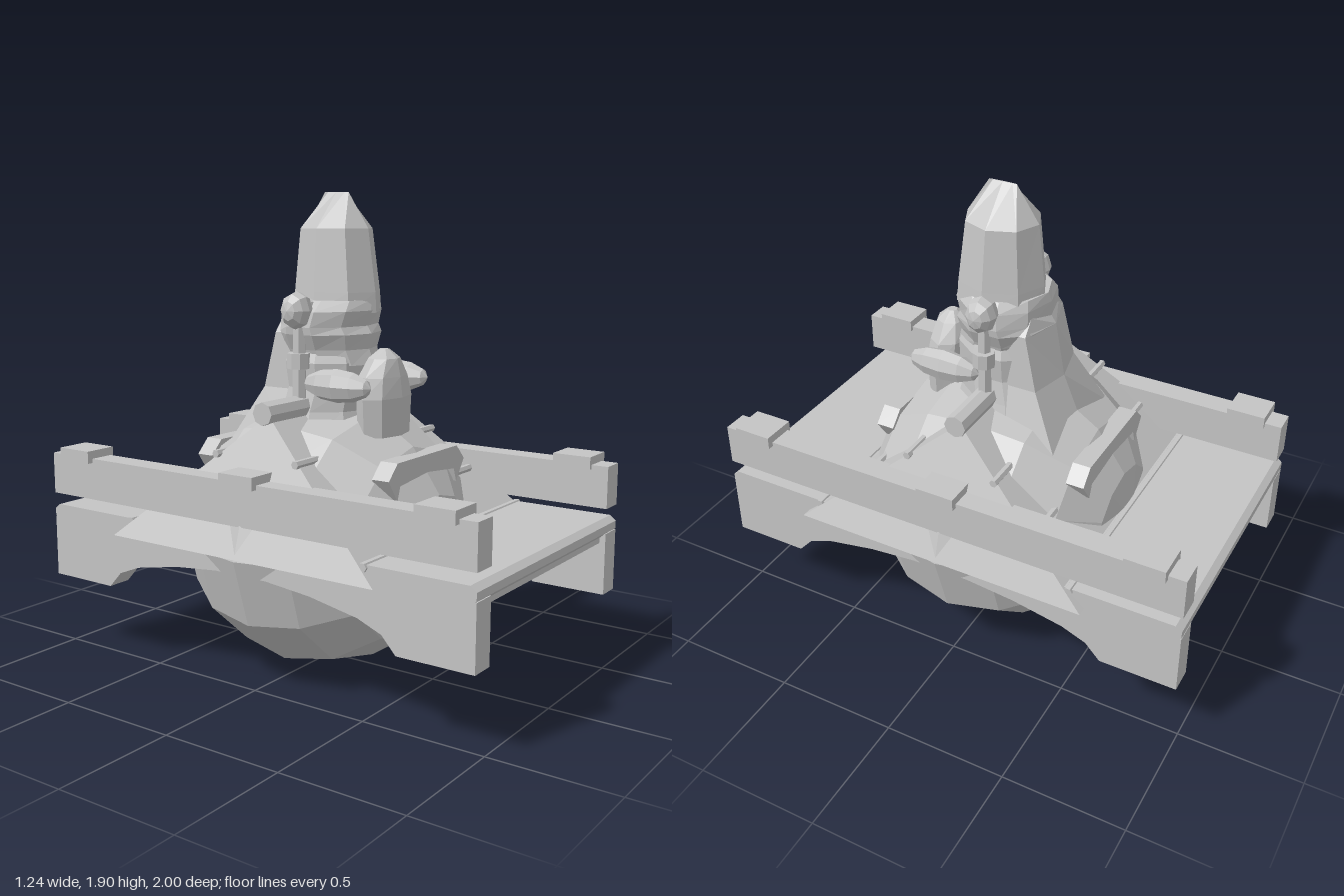
import * as THREE from 'three';

export function createModel() {
  const model = new THREE.Group();
  const stone = new THREE.MeshStandardMaterial({ color: 0xc4c4c4, flatShading: true, side: THREE.DoubleSide });

  const add = (name, geo, x = 0, y = 0, z = 0) => {
    const m = new THREE.Mesh(geo, stone);
    m.name = name;
    m.position.set(x, y, z);
    model.add(m);
    return m;
  };
  const box = (name, w, h, d, x, y, z) => add(name, new THREE.BoxGeometry(w, h, d), x, y, z);
  // rod running along x
  const rod = (name, r, len, x, y, z, sides = 8) => {
    const m = add(name, new THREE.CylinderGeometry(r, r, len, sides), x, y, z);
    m.rotation.z = Math.PI / 2;
    return m;
  };
  // stack of elliptical rings: [y, halfX, halfZ, centreX, centreZ]
  const loft = (name, rings, n = 10) => {
    const pos = [], idx = [];
    const last = rings.length - 1;
    rings.forEach(([y, rx, rz, cx = 0, cz = 0]) => {
      for (let i = 0; i < n; i++) {
        const a = (i / n) * Math.PI * 2;
        pos.push(cx + Math.sin(a) * rx, y, cz + Math.cos(a) * rz);
      }
    });
    for (let j = 0; j < last; j++) {
      for (let i = 0; i < n; i++) {
        const a = j * n + i, b = j * n + (i + 1) % n;
        idx.push(a, b, b + n, a, b + n, a + n);
      }
    }
    for (let i = 1; i < n - 1; i++) {
      idx.push(0, i + 1, i, last * n, last * n + i, last * n + i + 1);
    }
    const g = new THREE.BufferGeometry();
    g.setAttribute('position', new THREE.Float32BufferAttribute(pos, 3));
    g.setIndex(idx);
    g.computeVertexNormals();
    return add(name, g);
  };

  // round hull with its poles facing front and back
  const hull = new THREE.SphereGeometry(1, 12, 8);
  hull.rotateX(Math.PI / 2);
  hull.scale(0.62, 0.543, 0.56);
  add('roundBody', hull, 0, 0.548, 0);

  // sloping roof around the hull, with its ridge along x
  const roof = new THREE.BufferGeometry();
  roof.setAttribute('position', new THREE.Float32BufferAttribute([
    -0.62, 0.555, 0.62, 0.62, 0.555, 0.62, 0.62, 0.555, -0.62, -0.62, 0.555, -0.62,
    -0.4, 1.07, 0, 0.4, 1.07, 0], 3));
  roof.setIndex([0, 1, 5, 0, 5, 4, 1, 2, 5, 2, 3, 4, 2, 4, 5, 3, 0, 4]);
  roof.computeVertexNormals();
  add('roof', roof);
  rod('ridgeBar', 0.045, 0.88, 0, 1.08, 0);
  for (const s of [-1, 1]) {
    rod('upperSlat', 0.016, 0.98, 0, 0.915, s * 0.19, 6);
    rod('middleSlat', 0.016, 1.08, 0, 0.765, s * 0.38, 6);
    rod('lowerSlat', 0.018, 1.18, 0, 0.615, s * 0.555, 6);
  }

  // deck with bevelled ends
  const deckShape = new THREE.Shape([
    [-1, 0.575], [-0.98, 0.555], [0.98, 0.555], [1, 0.575], [1, 0.605], [0.975, 0.625], [-0.975, 0.625], [-1, 0.605],
  ].map(p => new THREE.Vector2(...p)));
  const deck = new THREE.ExtrudeGeometry(deckShape, { depth: 1.16, bevelEnabled: false });
  deck.translate(0, 0, -0.58);
  deck.rotateY(Math.PI / 2);
  add('deck', deck);
  for (const s of [-1, 1]) box('deckEndBeam', 0.98, 0.03, 0.03, 0, 0.545, s * 0.96);

  // arched side skirts, rails and rail caps
  const arch = [[1, 0.57], [1, 0.32], [0.69, 0.32], [0.63, 0.385], [0.53, 0.425], [0.32, 0.465], [0.12, 0.485]];
  const skirtShape = new THREE.Shape([
    ...arch.map(([z, y]) => new THREE.Vector2(z, y)),
    ...arch.slice().reverse().map(([z, y]) => new THREE.Vector2(-z, y)),
  ]);
  for (const s of [-1, 1]) {
    const skirt = new THREE.ExtrudeGeometry(skirtShape, { depth: 0.1, bevelEnabled: false });
    skirt.translate(0, 0, -0.05);
    skirt.rotateY(Math.PI / 2);
    add('sideSkirt', skirt, s * 0.53, 0, 0);
    box('sideRail', 0.1, 0.17, 2, s * 0.53, 0.757, 0);
    for (const z of [-0.85, 0, 0.85]) box('railCap', 0.14, 0.05, 0.16, s * 0.535, 0.85, z);
  }

  // pointed plates on the front and back of the hull
  const plateShape = new THREE.Shape([
    [-0.22, 0.91], [-0.28, 0.85], [-0.22, 0.765], [-0.2, 0.82], [0, 0.84], [0.2, 0.82], [0.22, 0.765], [0.28, 0.85], [0.22, 0.91],
  ].map(p => new THREE.Vector2(...p)));
  for (const s of [-1, 1]) {
    const plate = new THREE.ExtrudeGeometry(plateShape, { depth: 0.075, bevelEnabled: false });
    add('beltPlate', plate, 0, 0, s > 0 ? 0.39 : -0.465);
  }

  // torso, head and tall crest
  loft('torso', [[0.93, 0.25, 0.26, 0, -0.03], [1.06, 0.21, 0.21, 0, -0.02], [1.15, 0.19, 0.2], [1.25, 0.2, 0.2], [1.3, 0.18, 0.18]]);
  loft('head', [[1.24, 0.17, 0.19, 0, 0.02], [1.3, 0.19, 0.19], [1.36, 0.22, 0.2], [1.39, 0.225, 0.18],
    [1.45, 0.215, 0.19, 0, 0.01], [1.49, 0.17, 0.18, 0.01, 0.01]]);
  loft('crest', [[1.44, 0.168, 0.185, 0.025, 0.02], [1.52, 0.16, 0.18, 0.025, 0.02],
    [1.765, 0.137, 0.15, 0.025, 0.015], [1.905, 0.003, 0.057, 0.025, 0.015]], 8);

  // flared cape down the back
  const capeRows = [[1.42, 0.11, -0.15, -0.16], [1.36, 0.16, -0.15, -0.2], [1.14, 0.17, -0.2, -0.24], [0.9, 0.25, -0.33, -0.34]];
  const capePos = [], capeIdx = [];
  capeRows.forEach(([y, hx, zEdge, zMid], j) => {
    capePos.push(hx, y, -0.02, hx, y, zEdge, 0, y, zMid, -hx, y, zEdge, -hx, y, -0.02);
    if (j === 0) return;
    for (let i = 0; i < 4; i++) {
      const a = (j - 1) * 5 + i;
      capeIdx.push(a, a + 1, a + 6, a, a + 6, a + 5);
    }
  });
  capeIdx.push(0, 2, 1, 0, 4, 2, 4, 3, 2);
  const cape = new THREE.BufferGeometry();
  cape.setAttribute('position', new THREE.Float32BufferAttribute(capePos, 3));
  // rows run downward, so turn the faces outward
  for (let i = 0; i < capeIdx.length; i += 3) [capeIdx[i + 1], capeIdx[i + 2]] = [capeIdx[i + 2], capeIdx[i + 1]];
  cape.setIndex(capeIdx.map((v, i, a) => (i < a.length - 9 ? a[i - (i % 3) + [0, 2, 1][i % 3]] : v)));
  cape.computeVertexNormals();
  add('cape', cape);

  // long pod on the chest
  loft('chestPod', [[0.97, 0.14, 0.08, 0, 0.26], [1.12, 0.15, 0.085, 0, 0.26], [1.2, 0.125, 0.08, 0, 0.255],
    [1.27, 0.07, 0.06, 0, 0.26], [1.305, 0.02, 0.02, 0, 0.26]], 8);

  // side posts, pods and round knobs
  for (const s of [-1, 1]) {
    add('sidePost', new THREE.CylinderGeometry(0.026, 0.03, 0.38, 6), s * 0.205, 1.22, 0);
    add('postCollar', new THREE.CylinderGeometry(0.045, 0.045, 0.06, 8), s * 0.21, 1.26, 0);
    const pod = new THREE.SphereGeometry(1, 8, 6);
    pod.rotateX(Math.PI / 2);
    pod.scale(0.055, 0.065, 0.155);
    add('sidePod', pod, s * 0.205, 1.175, 0.18);
    rod('knobStem', 0.05, 0.1, s * 0.19, 1.45, 0);
    const knob = new THREE.SphereGeometry(1, 8, 6);
    knob.rotateZ(Math.PI / 2);
    knob.scale(0.065, 0.075, 0.062);
    add('sideKnob', knob, s * 0.22, 1.455, 0);
  }
  return model;
}
